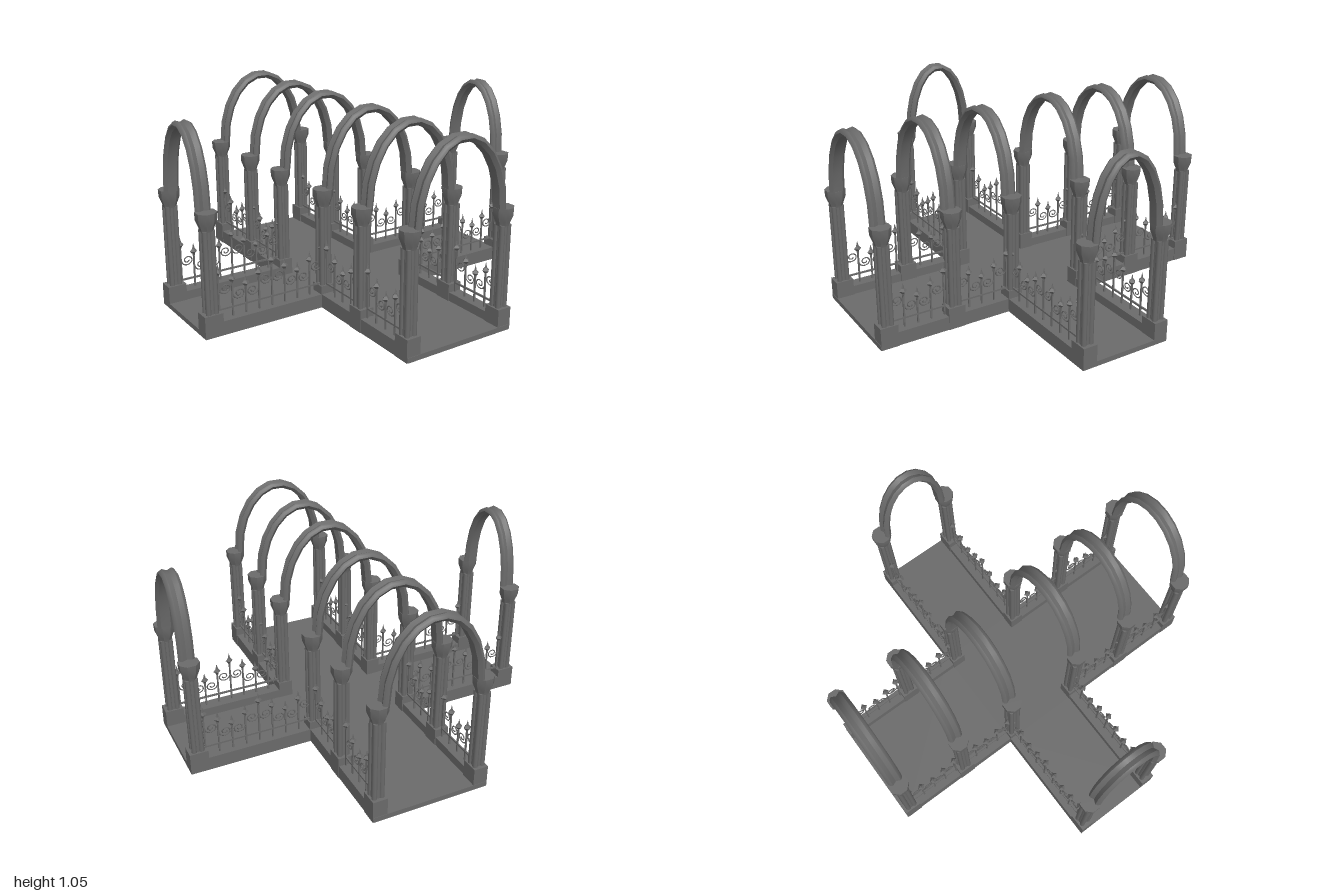
import * as THREE from 'three';
import { toCreasedNormals } from 'three/addons/utils/BufferGeometryUtils.js';

const stone = new THREE.MeshStandardMaterial({ color: 0x6a6a6a });
stone.name = 'dark grey stone';

function add(parent, name, geometry, x = 0, y = 0, z = 0) {
  const mesh = new THREE.Mesh(geometry, stone);
  mesh.name = name;
  mesh.position.set(x, y, z);
  parent.add(mesh);
  return mesh;
}

// Box given by its extents
function block(parent, name, x0, x1, y0, y1, z0, z1) {
  return add(parent, name, new THREE.BoxGeometry(Math.abs(x1 - x0), y1 - y0, Math.abs(z1 - z0)),
    (x0 + x1) / 2, (y0 + y1) / 2, (z0 + z1) / 2);
}

function lathe(profile, sides) {
  const points = profile.map(([r, y]) => new THREE.Vector2(r, y));
  return new THREE.LatheGeometry(points, sides);
}

// Cross-shaped floor slab
function floorGeometry() {
  const a = 0.32, b = 0.255, e = 0.995;
  const corners = [[a, b], [a, e], [-a, e], [-a, b], [-e, b], [-e, -b],
    [-a, -b], [-a, -e], [a, -e], [a, -b], [e, -b], [e, b]];
  const shape = new THREE.Shape(corners.map(([x, y]) => new THREE.Vector2(x, y)));
  return new THREE.ExtrudeGeometry(shape, { depth: 0.027, bevelEnabled: false }).rotateX(-Math.PI / 2);
}

// Half-elliptic arch swept with a section grooved along its outer edge
function archGeometry(radius) {
  const section = [[0.042, 0], [0.036, 0.013], [0.024, 0.02], [0, 0.009], [-0.024, 0.02],
    [-0.036, 0.013], [-0.042, 0], [-0.026, -0.019], [0.026, -0.019]];
  const rise = 0.387, steps = 11, n = section.length;
  const pos = [], index = [];
  for (let i = 0; i <= steps; i++) {
    const t = Math.PI * i / steps;
    const normal = new THREE.Vector2(Math.cos(t) / radius, Math.sin(t) / rise).normalize();
    for (const [u, v] of section) {
      pos.push(radius * Math.cos(t) + normal.x * v, rise * Math.sin(t) + normal.y * v, u);
    }
  }
  for (let i = 0; i < steps; i++) {
    for (let j = 0; j < n; j++) {
      const a = i * n + j, b = i * n + (j + 1) % n;
      index.push(a, b, b + n, a, b + n, a + n);
    }
  }
  const g = new THREE.BufferGeometry();
  g.setAttribute('position', new THREE.Float32BufferAttribute(pos, 3));
  g.setIndex(index);
  return toCreasedNormals(g, 0.75);
}

const capitalGeometry = toCreasedNormals(
  lathe([[0.034, 0.55], [0.038, 0.567], [0.053, 0.605], [0.055, 0.645], [0, 0.645]], 8).rotateY(Math.PI / 8), 0.5);
const coreGeometry = new THREE.CylinderGeometry(0.028, 0.028, 0.44, 8);
const shaftGeometry = new THREE.CylinderGeometry(0.014, 0.014, 0.44, 8);

// Pedestal, clustered shafts and capital
function column(x, z, pw, pd) {
  const g = new THREE.Group();
  g.name = 'column';
  g.position.set(x, 0, z);
  block(g, 'pedestal', -pw / 2, pw / 2, 0, 0.12, -pd / 2, pd / 2);
  add(g, 'shaftCore', coreGeometry, 0, 0.335, 0);
  for (const sx of [-1, 1]) for (const sz of [-1, 1]) {
    add(g, 'cornerShaft', shaftGeometry, sx * 0.02, 0.335, sz * 0.02);
  }
  add(g, 'capital', capitalGeometry);
  return g;
}

// Spiral ironwork filling the gap between two bars
function scrollGeometry() {
  const points = [];
  for (let i = 0; i <= 16; i++) {
    const t = i / 16, angle = Math.PI * (1 + 3 * t), r = 0.035 - 0.027 * t;
    points.push(new THREE.Vector3(Math.cos(angle) * r, Math.sin(angle) * r * 0.85, 0));
  }
  return new THREE.TubeGeometry(new THREE.CatmullRomCurve3(points), 30, 0.0035, 4);
}
const scroll = scrollGeometry();
const spear = toCreasedNormals(lathe([[0.003, -0.038], [0.008, -0.014], [0.021, 0], [0.008, 0.014], [0, 0.045]], 4), 0.3);

// Five-bar railing panel, 0.3 long, dipping in the middle
function railing() {
  const g = new THREE.Group();
  g.name = 'railing';
  const tips = [0.37, 0.32, 0.28, 0.32, 0.37], gap = 0.075;
  tips.forEach((tip, i) => {
    const x = (i - 2) * gap, w = 0.004;
    block(g, 'bar', x - w, x + w, 0.07, tip - 0.06, -w, w);
    add(g, 'spearhead', spear, x, tip - 0.045, 0);
  });
  [0.232, 0.19, 0.19, 0.232].forEach((y, i) => {
    const curl = add(g, 'scroll', scroll, (i - 1.5) * gap, y, 0);
    if (i > 1) curl.rotation.y = Math.PI;
  });
  block(g, 'rail', -0.155, 0.155, 0.121, 0.13, -0.004, 0.004);
  return g;
}

export function createModel() {
  const model = new THREE.Group();
  model.name = 'arcade';
  add(model, 'floor', floorGeometry());
  const cx = 0.285, cz = 0.217, end = 0.945;
  const rows = [cz, 0.567, end];

  for (const sx of [-1, 1]) for (const sz of [-1, 1]) {
    // Columns and low walls
    rows.forEach((z, i) => model.add(column(sx * cx, sz * z, 0.08, i ? 0.095 : 0.08)));
    model.add(column(sx * end, sz * cz, 0.1, 0.08));
    block(model, 'sideWall', sx * 0.25, sx * 0.322, 0, 0.075, sz * 0.25, sz * 0.95);
    block(model, 'crossWall', sx * 0.32, sx * 0.95, 0, 0.075, sz * 0.18, sz * 0.257);
    // Railings
    for (const x of [0.75, 0.45]) {
      const r = railing();
      r.position.set(sx * x, 0, sz * 0.222);
      model.add(r);
    }
    for (const z of [0.77, 0.4]) {
      const r = railing();
      r.position.set(sx * 0.285, 0, sz * z);
      r.rotation.y = Math.PI / 2;
      model.add(r);
    }
  }

  // Arches over the long aisle, then at the ends of the cross aisle
  const wide = archGeometry(0.255), narrow = archGeometry(0.185);
  for (const s of [-1, 1]) {
    for (const z of rows) add(model, 'aisleArch', wide, 0, 0.645, s * z);
    add(model, 'crossArch', narrow, s * end, 0.642, 0).rotation.y = Math.PI / 2;
  }
  return model;
}
